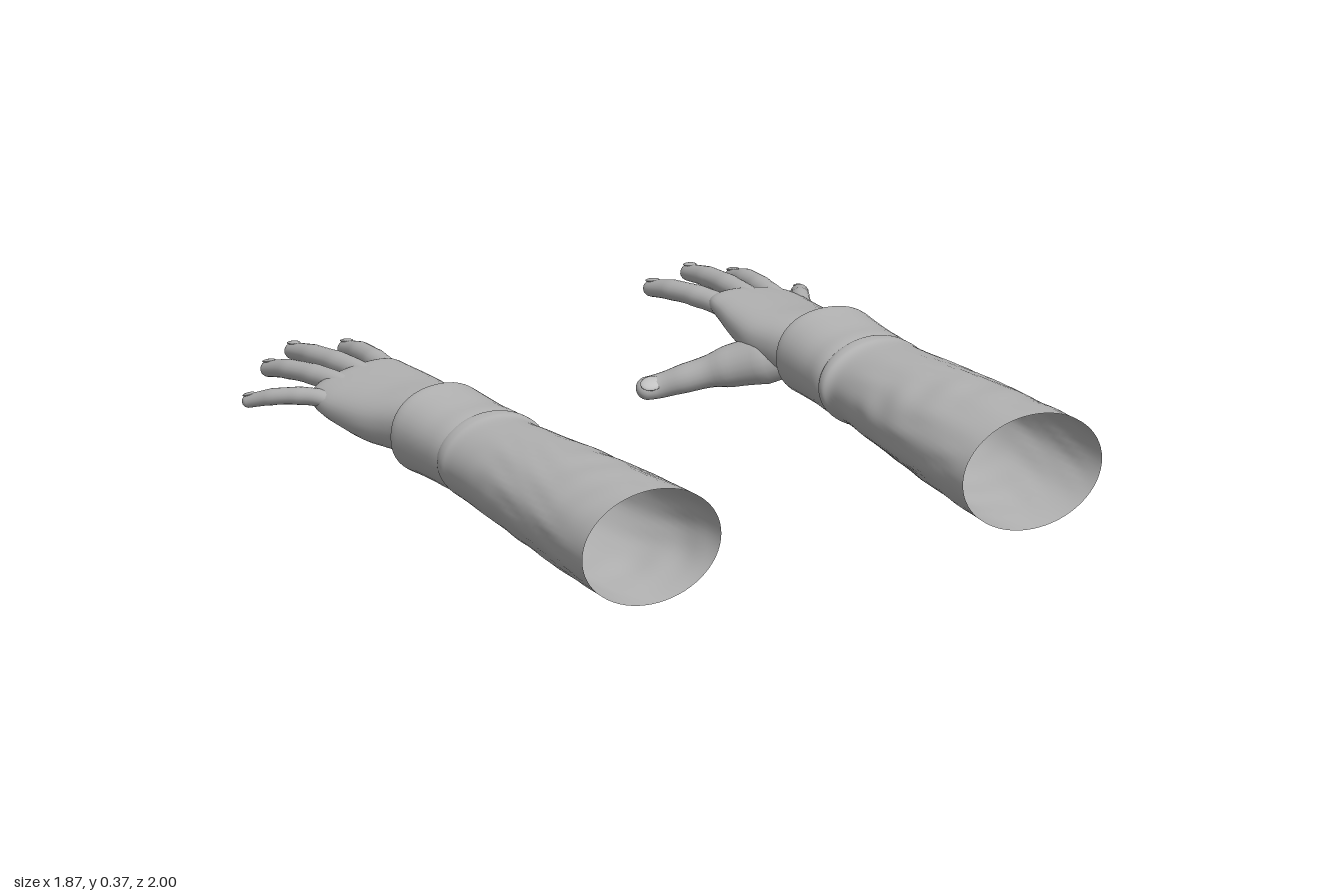
import * as THREE from 'three';

const SEG = 40;
const grey = new THREE.MeshStandardMaterial({ color: 0xb4b4b4, side: THREE.DoubleSide });
grey.name = 'plain grey';

// Skin over rings of { c: centre, r: right, u: up } vectors (r and u hold the radii)
function loft(name, rings, { power = 2, capStart = false, capEnd = false, warp = null, seg = SEG } = {}) {
  const pos = [], idx = [], p = new THREE.Vector3();
  const round = (v) => Math.sign(v) * Math.abs(v) ** (2 / power);
  rings.forEach((ring) => {
    for (let j = 0; j < seg; j++) {
      const a = (j / seg) * Math.PI * 2;
      p.copy(ring.c).addScaledVector(ring.r, round(Math.cos(a))).addScaledVector(ring.u, round(Math.sin(a)));
      if (warp) warp(p, a, ring);
      pos.push(p.x, p.y, p.z);
    }
  });
  for (let i = 0; i < rings.length - 1; i++) {
    for (let j = 0; j < seg; j++) {
      const k = (j + 1) % seg, a = i * seg, b = a + seg;
      idx.push(a + j, b + j, a + k, b + j, b + k, a + k);
    }
  }
  const cap = (i, flip) => {
    const c = pos.length / 3;
    pos.push(...rings[i].c.toArray());
    for (let j = 0; j < seg; j++) {
      const a = i * seg + j, b = i * seg + ((j + 1) % seg);
      idx.push(c, flip ? b : a, flip ? a : b);
    }
  };
  if (capStart) cap(0, false);
  if (capEnd) cap(rings.length - 1, true);
  const geo = new THREE.BufferGeometry();
  geo.setAttribute('position', new THREE.Float32BufferAttribute(pos, 3));
  geo.setIndex(idx);
  geo.computeVertexNormals();
  const mesh = new THREE.Mesh(geo, grey);
  mesh.name = name;
  return mesh;
}

// Rings across the arm from rows of [z, left x, right x, bottom y, top y, tilt], smoothed between rows
function armRings(rows, steps) {
  const rings = [], n = rows.length;
  for (let i = 0; i < n - 1; i++) {
    for (let s = 0; s < (i === n - 2 ? steps + 1 : steps); s++) {
      const t = s / steps;
      const [z, x0, x1, y0, y1, tilt = 0] = rows[i].map((b, k) => {
        const c = rows[i + 1][k];
        const a = i > 0 ? rows[i - 1][k] : b, d = i < n - 2 ? rows[i + 2][k] : c;
        return b + 0.5 * t * (c - a + t * (2 * a - 5 * b + 4 * c - d + t * (3 * (b - c) + d - a)));
      });
      rings.push({
        c: new THREE.Vector3((x0 + x1) / 2, (y0 + y1) / 2, z),
        r: new THREE.Vector3((x1 - x0) / 2, tilt, 0),
        u: new THREE.Vector3(0, (y1 - y0) / 2, 0),
      });
    }
  }
  return rings;
}

// Rounded digit along a curve, with swollen joints and a nail
function digit(name, points, radii, up = [0, 1, 0]) {
  const curve = new THREE.CatmullRomCurve3(points.map((q) => new THREE.Vector3(...q)));
  const len = curve.getLength(), tip = radii[radii.length - 1], end = 1 - tip / len;
  const frame = (t) => {
    const T = curve.getTangentAt(t);
    const R = new THREE.Vector3().crossVectors(T, new THREE.Vector3(...up)).normalize();
    return { c: curve.getPointAt(t), T, R, U: new THREE.Vector3().crossVectors(R, T) };
  };
  const radius = (t) => {
    const f = Math.min(t, 0.9999) * (radii.length - 1), i = Math.floor(f);
    return THREE.MathUtils.lerp(radii[i], radii[i + 1], f - i);
  };
  const rings = [];
  const add = (t, rad) => {
    const { c, R, U } = frame(t);
    rings.push({ c, r: R.multiplyScalar(rad), u: U.multiplyScalar(rad * 0.93) });
  };
  for (let i = 0; i <= 24; i++) {
    const t = i / 24;
    const joints = Math.exp(-(((t - 0.48) / 0.06) ** 2)) + 0.6 * Math.exp(-(((t - 0.76) / 0.05) ** 2));
    add(t * end, radius(t) * (1 + 0.06 * joints));
  }
  for (let i = 1; i <= 6; i++) {
    const a = (i / 6) * Math.PI * 0.49;
    add(end + (1 - end) * Math.sin(a), tip * Math.cos(a));
  }
  const group = new THREE.Group();
  group.name = name;
  group.add(loft(name + 'Flesh', rings, { capStart: true, capEnd: true, seg: 20 }));

  const { c, T, R, U } = frame(1 - (tip * 1.25) / len);
  const nail = new THREE.Mesh(new THREE.SphereGeometry(1, 16, 8), grey);
  nail.name = name + 'Nail';
  nail.scale.set(tip * 0.68, 0.005, tip * 0.95);
  nail.quaternion.setFromRotationMatrix(new THREE.Matrix4().makeBasis(R, U, T.clone().negate()));
  nail.position.copy(c).addScaledVector(U, tip * 0.93);
  group.add(nail);
  return group;
}

function buildArm() {
  const arm = new THREE.Group();

  // Long open sleeve with soft lengthwise wrinkles
  const wrinkle = (p, a, ring) => {
    const fade = THREE.MathUtils.smoothstep(p.z, 0.15, 0.4) * (1 - THREE.MathUtils.smoothstep(p.z, 0.85, 1));
    const k = 1 + 0.014 * fade * Math.sin(a * 11 + 3 * Math.sin(p.z * 9 + a * 2)) * Math.sin(p.z * 14 + a * 3);
    p.x = ring.c.x + (p.x - ring.c.x) * k;
    p.y = ring.c.y + (p.y - ring.c.y) * k;
  };
  arm.add(loft('sleeve', armRings([
    [1, 0.403, 0.867, 0.03, 0.378],
    [0.75, 0.418, 0.855, 0.04, 0.37],
    [0.5, 0.437, 0.838, 0.055, 0.357],
    [0.3, 0.455, 0.822, 0.068, 0.343],
    [0.16, 0.47, 0.812, 0.077, 0.334],
    [0.11, 0.458, 0.812, 0.078, 0.338],
    [0.08, 0.466, 0.806, 0.084, 0.337],
    [0.06, 0.49, 0.795, 0.1, 0.325],
  ], 8), { warp: wrinkle, seg: 64 }));

  // Cuff with a thick slanted rim turned back inside
  const slant = (p) => { if (p.z < 0) p.z += (p.x - 0.645) * 0.06 * Math.min(1, -p.z / 0.15); };
  arm.add(loft('cuff', armRings([
    [0.14, 0.49, 0.795, 0.095, 0.322],
    [0.06, 0.472, 0.803, 0.085, 0.334],
    [-0.02, 0.478, 0.805, 0.086, 0.334],
    [-0.12, 0.483, 0.808, 0.083, 0.34],
    [-0.175, 0.486, 0.811, 0.08, 0.344],
    [-0.19, 0.492, 0.806, 0.086, 0.338],
    [-0.188, 0.506, 0.794, 0.1, 0.326],
    [-0.15, 0.512, 0.789, 0.104, 0.322],
    [-0.04, 0.51, 0.785, 0.105, 0.318],
  ], 4), { warp: slant, power: 2.2 }));

  // Wrist, palm and back of the hand
  arm.add(loft('palm', armRings([
    [-0.08, 0.535, 0.775, 0.115, 0.308, 0],
    [-0.2, 0.522, 0.775, 0.118, 0.306, 0],
    [-0.28, 0.505, 0.785, 0.115, 0.3, -0.005],
    [-0.38, 0.488, 0.805, 0.115, 0.288, -0.012],
    [-0.48, 0.495, 0.816, 0.132, 0.28, -0.018],
    [-0.56, 0.508, 0.822, 0.152, 0.274, -0.022],
    [-0.62, 0.518, 0.812, 0.172, 0.268, -0.022],
    [-0.655, 0.54, 0.775, 0.197, 0.252, -0.015],
  ], 5), { power: 2.3, capStart: true, capEnd: true }));

  // Four spread fingers and the thumb
  const width = (w) => [w * 1.15, w * 1.08, w * 1.02, w * 0.98, w * 0.82];
  arm.add(
    digit('indexFinger', [[0.57, 0.23, -0.52], [0.548, 0.235, -0.66], [0.523, 0.222, -0.82], [0.507, 0.192, -0.955]], width(0.032)),
    digit('middleFinger', [[0.64, 0.24, -0.52], [0.647, 0.243, -0.68], [0.657, 0.228, -0.85], [0.661, 0.2, -1]], width(0.032)),
    digit('ringFinger', [[0.715, 0.228, -0.52], [0.734, 0.23, -0.66], [0.762, 0.212, -0.83], [0.776, 0.18, -0.945]], width(0.031)),
    digit('littleFinger', [[0.77, 0.2, -0.5], [0.81, 0.205, -0.6], [0.872, 0.185, -0.71], [0.925, 0.147, -0.81]], width(0.026)),
    digit('thumb', [[0.6, 0.185, -0.27], [0.53, 0.15, -0.36], [0.46, 0.115, -0.44], [0.375, 0.075, -0.515], [0.315, 0.044, -0.57], [0.255, 0.037, -0.59]],
      [0.06, 0.075, 0.064, 0.047, 0.04, 0.034], [-0.3, 0.6, 0.6]),
  );
  return arm;
}

export function createModel() {
  const model = new THREE.Group();
  model.name = 'armPair';
  const left = buildArm();
  left.name = 'leftArm';
  const right = buildArm();
  right.name = 'rightArm';
  right.scale.x = -1;
  model.add(left, right);
  return model;
}
